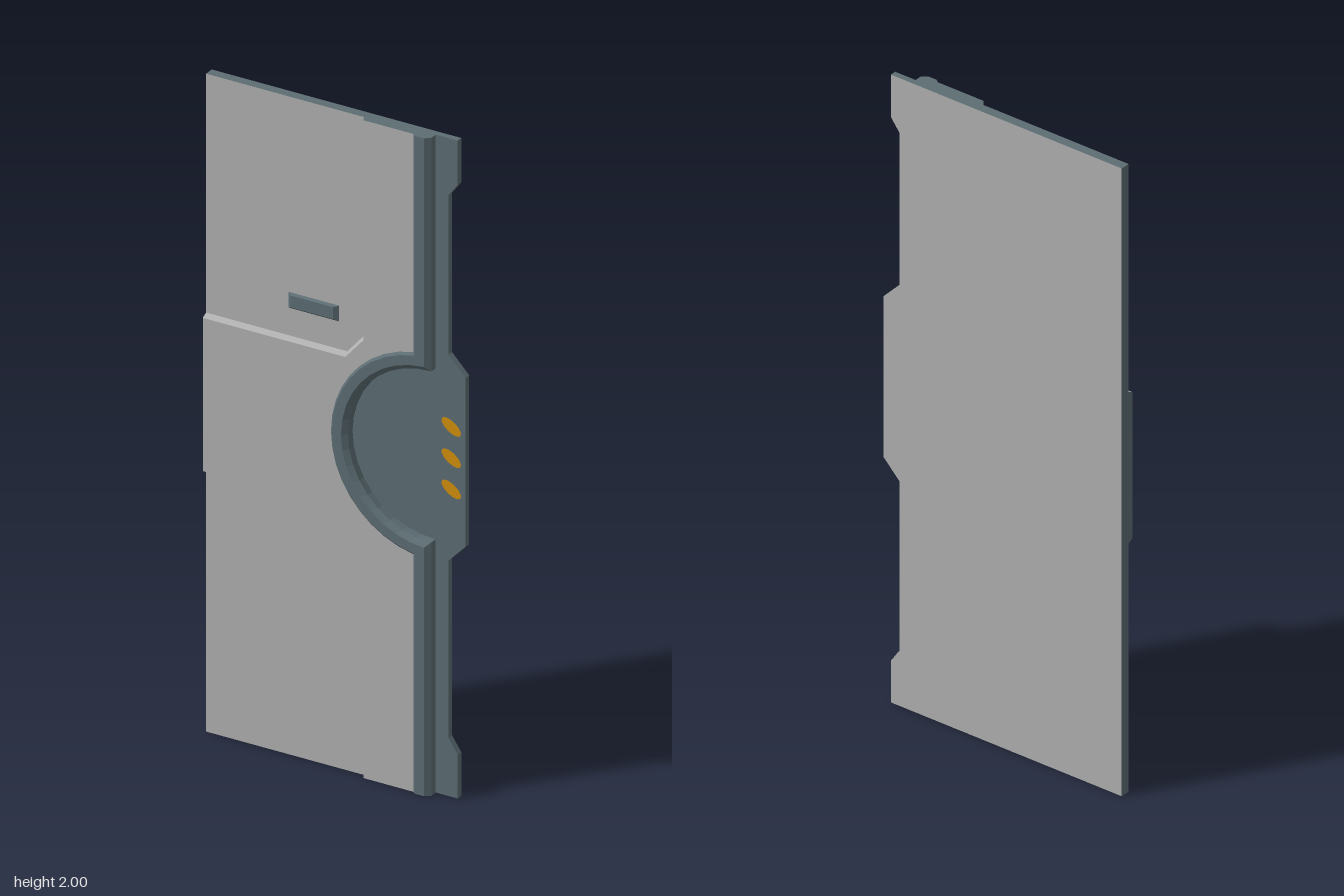
import * as THREE from 'three';

const mat = (name, color) => {
  const m = new THREE.MeshStandardMaterial({ color, flatShading: true });
  m.name = name;
  return m;
};

// Dish centre and the height of the door leaf
const CX = 0.31, CY = 1.03, H = 2, SEGMENTS = 18;

// Line running up the strip and around the dish: straight at x, arc of radius r
function rimLine(x, r) {
  const a = Math.acos((x - CX) / r);
  const pts = [[x, 0]];
  for (let i = 0; i <= SEGMENTS; i++) {
    const t = -a - (i / SEGMENTS) * (2 * Math.PI - 2 * a);
    pts.push([CX + r * Math.cos(t), CY + r * Math.sin(t)]);
  }
  pts.push([x, H]);
  return pts;
}

// Mesh from triangles sorted by material
function facesMesh(name, parts) {
  const pos = [], mats = [], geo = new THREE.BufferGeometry();
  parts.forEach(({ material, tris }, i) => {
    geo.addGroup(pos.length / 3, tris.length, i);
    tris.forEach((p) => pos.push(...p));
    mats.push(material);
  });
  geo.setAttribute('position', new THREE.Float32BufferAttribute(pos, 3));
  geo.computeVertexNormals();
  const mesh = new THREE.Mesh(geo, mats);
  mesh.name = name;
  return mesh;
}

const quad = (a, b, c, d) => [a, b, c, a, c, d];

// Flat cap over an anticlockwise outline
function cap(pts, z, back) {
  const v = pts.map((p) => new THREE.Vector2(p[0], p[1]));
  return THREE.ShapeUtils.triangulateShape(v, []).flatMap((f) =>
    (back ? [f[0], f[2], f[1]] : f).map((i) => [pts[i][0], pts[i][1], z]));
}

// Solid between two matching anticlockwise outlines
function slab(name, low, high, z0, z1, front, back, sideOf) {
  const sides = new Map();
  low.forEach((p, i) => {
    const j = (i + 1) % low.length, m = sideOf(i);
    if (!sides.has(m)) sides.set(m, []);
    sides.get(m).push(...quad([...p, z0], [...low[j], z0], [...high[j], z1], [...high[i], z1]));
  });
  return facesMesh(name, [
    { material: front, tris: cap(high, z1, false) },
    { material: back, tris: cap(low, z0, true) },
    ...[...sides].map(([material, tris]) => ({ material, tris })),
  ]);
}

export function createModel() {
  const grey = mat('panel grey', 0xb0b0b0);
  const slate = mat('slate metal', 0x5c6d73);
  const orange = mat('amber light', 0xd08f0c);
  const group = new THREE.Group();
  group.name = 'doorLeaf';

  // Back plate with the notched locking edge
  const plate = [
    [-0.41, 0], [0.385, 0], [0.385, 0.133], [0.355, 0.177], [0.355, 0.715], [0.41, 0.772],
    [0.41, 1.285], [0.355, 1.342], [0.355, 1.825], [0.385, 1.865], [0.385, H], [-0.41, H],
  ];
  group.add(slab('backPlate', plate, plate, -0.03, -0.011, slate, grey, () => slate));

  // Recessed panel layer
  const edge = rimLine(0.285, 0.29);
  const body = [[-0.41, 0], ...edge, [-0.41, H]];
  group.add(slab('recessedPanel', body, body, -0.011, 0, grey, slate, () => slate));

  // Raised panel with sloped steps; d moves the steps inwards
  const raised = (d) => [
    ...edge,
    [0.093 + d, H], [0.093 + d, 1.335 - d * 0.4], [0.04 + d * 0.4, 1.274 - d],
    [-0.41, 1.274 - d], [-0.41, 0.79 + d],
    [0.04 + d * 0.4, 0.79 + d], [0.093 + d, 0.73 + d * 0.4], [0.093 + d, 0],
  ];
  const n = edge.length;
  const sloped = [n, n + 1, n + 2, n + 4, n + 5, n + 6];
  group.add(slab('raisedPanel', raised(0), raised(0.009), 0, 0.017, grey, slate,
    (i) => (sloped.includes(i) ? grey : slate)));

  // Rim running along the edge and around the dish: [x, radius, z]
  const rows = [
    [0.262, 0.311, -0.011], [0.262, 0.311, 0.018], [0.269, 0.304, 0.025],
    [0.299, 0.275, 0.025], [0.315, 0.26, 0.012], [0.315, 0.26, -0.011],
  ].map(([x, r, z]) => rimLine(x, r).map((p) => [...p, z]));
  const tris = [];
  for (let r = 0; r < rows.length - 1; r++) {
    for (let i = 0; i < rows[r].length - 1; i++) {
      tris.push(...quad(rows[r][i], rows[r + 1][i], rows[r + 1][i + 1], rows[r][i + 1]));
    }
  }
  for (let r = 1; r < rows.length - 1; r++) {
    const last = rows[0].length - 1;
    tris.push(rows[0][0], rows[r + 1][0], rows[r][0]);
    tris.push(rows[0][last], rows[r][last], rows[r + 1][last]);
  }
  group.add(facesMesh('dishRim', [{ material: slate, tris }]));

  // Small bevelled handle
  const rect = (x0, x1, y0, y1) => [[x0, y0], [x1, y0], [x1, y1], [x0, y1]];
  group.add(slab('handle', rect(-0.148, 0.014, 1.358, 1.406), rect(-0.135, 0.001, 1.366, 1.402),
    0, 0.01, slate, slate, () => slate));

  // Three slanted lights on the dish floor
  for (const y of [1.125, 1.03, 0.935]) {
    const light = new THREE.Mesh(new THREE.CircleGeometry(1, 12), orange);
    light.name = 'dishLight';
    light.scale.set(0.036, 0.018, 1);
    light.rotation.z = -0.6;
    light.position.set(0.365, y, -0.01);
    group.add(light);
  }
  return group;
}
